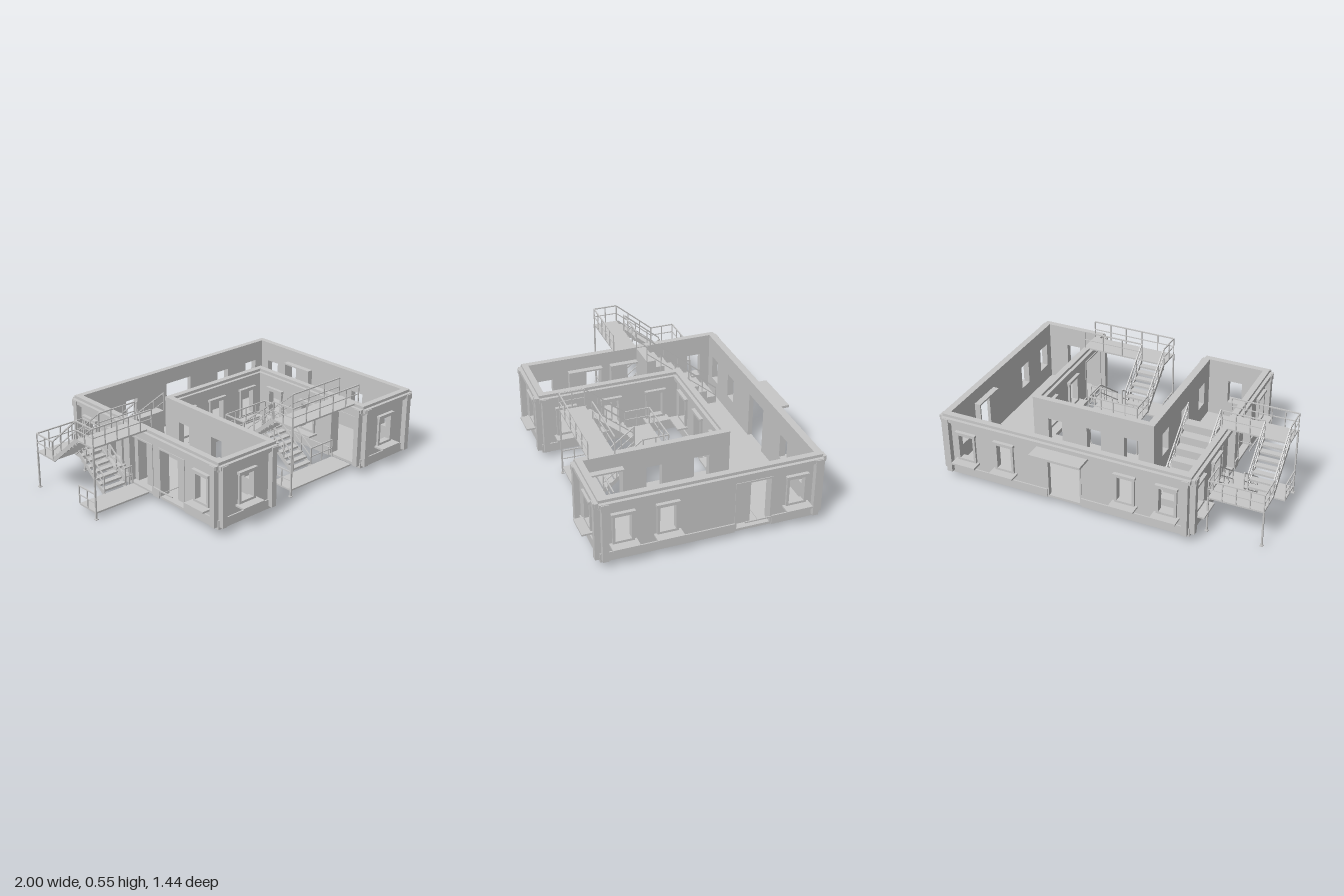
import * as THREE from 'three';

const T = 0.025;           // wall thickness
const BASE = 0.035;        // underside of the building
const FLOOR = 0.05;
const TOP = 0.435;
const grey = new THREE.MeshStandardMaterial({ color: 0xc8c8c8 });
grey.name = 'plain light grey';

function group(parent, name) {
  const g = new THREE.Group();
  g.name = name;
  parent.add(g);
  return g;
}

// Box given by its minimum and maximum corners
function box(parent, name, x0, x1, y0, y1, z0, z1) {
  const m = new THREE.Mesh(new THREE.BoxGeometry(x1 - x0, y1 - y0, z1 - z0), grey);
  m.position.set((x0 + x1) / 2, (y0 + y1) / 2, (z0 + z1) / 2);
  m.name = name;
  parent.add(m);
}

// Square bar between two points
function beam(parent, name, a, b, w = 0.007, h = w) {
  const p = new THREE.Vector3(...a), q = new THREE.Vector3(...b);
  const d = q.clone().sub(p);
  const m = new THREE.Mesh(new THREE.BoxGeometry(w, h, d.length()), grey);
  m.position.copy(p).add(q).multiplyScalar(0.5);
  m.quaternion.setFromUnitVectors(new THREE.Vector3(0, 0, 1), d.normalize());
  m.name = name;
  parent.add(m);
}

// Railing with a hand rail, a middle rail and evenly spaced posts
function railing(parent, a, b, posts = 3, height = 0.11) {
  const g = group(parent, 'railing');
  const up = (p, h) => [p[0], p[1] + h, p[2]];
  beam(g, 'handRail', up(a, height), up(b, height));
  beam(g, 'middleRail', up(a, height / 2), up(b, height / 2), 0.005);
  for (let i = 0; i < posts; i++) {
    const p = a.map((v, k) => v + (b[k] - v) * i / (posts - 1));
    beam(g, 'railPost', p, up(p, height), 0.006);
  }
}

// Framed window with lintel and sill, centred at u on a wall
function windowTrim(parent, u) {
  const g = group(parent, 'window');
  for (const s of [-1, 1]) {
    const a = u + s * 0.046, b = u + s * 0.061;
    box(g, 'windowJamb', Math.min(a, b), Math.max(a, b), 0.14, 0.318, -T, 0.014);
  }
  box(g, 'windowHead', u - 0.046, u + 0.046, 0.308, 0.318, -T, 0.014);
  box(g, 'windowFoot', u - 0.046, u + 0.046, 0.14, 0.154, -T, 0.014);
  box(g, 'windowLintel', u - 0.067, u + 0.067, 0.318, 0.333, -0.005, 0.022);
  box(g, 'windowSill', u - 0.077, u + 0.077, 0.129, 0.14, -0.005, 0.068);
}

// Doorway lining reaching inwards by depth, with an optional leaf and guard bar
function doorway(parent, { u, leaf, bar, depth = 0.037 }) {
  const g = group(parent, 'doorway');
  const back = -T - depth;
  box(g, 'doorJamb', u - 0.11, u - 0.1, FLOOR, 0.35, back, 0.004);
  box(g, 'doorJamb', u + 0.1, u + 0.11, FLOOR, 0.35, back, 0.004);
  box(g, 'doorHead', u - 0.11, u + 0.11, 0.34, 0.35, back, 0.004);
  if (leaf) {
    const end = u + leaf * 0.1;
    box(g, 'doorLeaf', Math.min(u, end), Math.max(u, end), FLOOR, 0.34, back, back + 0.02);
  }
  if (bar) {
    box(g, 'guardBar', u - 0.077, u + 0.077, 0.126, 0.134, 0.059, 0.065);
    box(g, 'guardBracket', u - 0.002, u + 0.002, 0.128, 0.132, back, 0.06);
  }
}

// One straight wall: local x runs along it, local z points outwards
function wall(parent, w) {
  const g = group(parent, w.name);
  g.position.set(w.at[0], 0, w.at[1]);
  g.rotation.y = w.turn * Math.PI / 2;
  const [c0, c1] = w.outerCorners;
  const L = w.length, x0 = c0 ? 0 : -T, x1 = c1 ? L : L + T;
  const rect = (path, a, b, c, d) => path.moveTo(a, c).lineTo(b, c).lineTo(b, d).lineTo(a, d).closePath();
  const doors = w.doors || [];
  const shape = rect(new THREE.Shape(), x0, x1, BASE, TOP);
  for (const u of w.windows) shape.holes.push(rect(new THREE.Path(), u - 0.047, u + 0.047, 0.15, 0.312));
  for (const d of doors) shape.holes.push(rect(new THREE.Path(), d.u - 0.109, d.u + 0.109, FLOOR, 0.349));
  const geo = new THREE.ExtrudeGeometry(shape, { depth: T, bevelEnabled: false });
  geo.translate(0, 0, -T);
  const body = new THREE.Mesh(geo, grey);
  body.name = 'wallBody';
  g.add(body);

  // Cornice, cap and plinth bands
  const e = (c, v) => (c ? v : 0);
  box(g, 'cornice', -e(c0, 0.012), L + e(c1, 0.012), 0.395, 0.418, -0.01, 0.032);
  box(g, 'corniceMoulding', -e(c0, 0.01), L + e(c1, 0.01), 0.38, 0.395, -0.01, 0.016);
  box(g, 'wallCap', -e(c0, 0.012), L + e(c1, 0.012), 0.418, TOP, -T, 0.012);
  let from = -e(c0, 0.008);
  for (const d of doors) {
    box(g, 'plinth', from, d.u - 0.11, BASE, 0.09, -0.01, 0.008);
    from = d.u + 0.11;
  }
  box(g, 'plinth', from, L + e(c1, 0.008), BASE, 0.09, -0.01, 0.008);

  // Pilasters beside the outer corners, leaving a notch at the corner itself
  for (const [on, a, b] of [[c0, 0, 0.034], [c1, L - 0.034, L]]) {
    if (!on) continue;
    box(g, 'pilaster', a, b, FLOOR, 0.39, -0.01, 0.034);
    box(g, 'pilasterCapital', a - 0.004, b + 0.004, 0.38, 0.415, -0.01, 0.038);
  }
  for (const u of w.windows) windowTrim(g, u);
  for (const d of doors) doorway(g, d);
}

// Flight of open treads along z, with stringers and railings
function flight(parent, x0, x1, z0, y0, z1, y1) {
  const g = group(parent, 'stairFlight');
  const n = 7, dz = (z1 - z0) / n, dy = (y1 - y0) / (n + 1);
  for (let i = 0; i < n; i++) {
    const y = y0 + dy * (i + 1);
    box(g, 'tread', x0, x1, y - 0.012, y, z0 + dz * i, z0 + dz * (i + 1));
  }
  for (const x of [x0 + 0.003, x1 - 0.003]) {
    beam(g, 'stringer', [x, y0 - 0.006, z0], [x, y1 - 0.006, z1], 0.006, 0.024);
    railing(g, [x, y0, z0], [x, y1, z1], 4);
  }
}

// Two-flight steel stair with landings on tall posts
function steelStair(parent, name, x, z, upperLength, lowerLength) {
  const g = group(parent, name);
  g.position.set(x, 0, z);
  const W = 0.325, D = 0.55, F = 0.398, M = 0.155, mid = 0.23, low = 0.045;
  box(g, 'upperLanding', 0, upperLength, TOP - 0.01, TOP, F, D);
  box(g, 'middleLanding', 0, W, mid - 0.01, mid, 0, M);
  box(g, 'lowerLanding', 0, lowerLength, low - 0.01, low, F, D);
  flight(g, 0, 0.155, M, mid, F, TOP);
  flight(g, 0.17, W, M, mid, F, low);
  railing(g, [0, TOP, D], [upperLength, TOP, D], 6);
  railing(g, [0, TOP, F], [0, TOP, D], 3);
  railing(g, [0.155, TOP, F], [upperLength, TOP, F], 4);
  railing(g, [0, mid, 0], [W, mid, 0], 5);
  railing(g, [0, mid, 0], [0, mid, M], 3);
  railing(g, [W, mid, 0], [W, mid, M], 3);
  railing(g, [0, low, F], [0, low, D], 3);
  railing(g, [W, low, F], [lowerLength, low, F], 3);
  for (const [px, pz, h] of [[0, 0, mid], [W, 0, mid], [0, D, TOP]]) {
    beam(g, 'supportPost', [px, 0, pz], [px, h, pz], 0.009);
    box(g, 'footPlate', px - 0.01, px + 0.01, 0, 0.005, pz - 0.01, pz + 0.01);
  }
}

// Solid stair inside the building
function innerStair(parent) {
  const g = group(parent, 'innerStair');
  const x0 = -0.575, x1 = -0.378, z0 = -0.55, z1 = -0.08, n = 8;
  for (let i = 0; i < n; i++) {
    const a = z0 + (z1 - z0) * i / n, b = z0 + (z1 - z0) * (i + 1) / n;
    box(g, 'step', x0, x1, FLOOR, FLOOR + (TOP - FLOOR) * (i + 1) / n, a, b);
  }
  for (const x of [x0, x1]) railing(g, [x, FLOOR, z0], [x, TOP, z1], 6);
}

export function createModel() {
  const root = new THREE.Group();
  root.name = 'courtyardBuilding';

  // U-shaped floor slab
  const outline = [[-0.61, 0.65], [-0.21, 0.65], [-0.21, -0.215], [0.53, -0.215],
    [0.53, 0.65], [0.93, 0.65], [0.93, -0.61], [-0.61, -0.61]];
  const slab = new THREE.ExtrudeGeometry(
    new THREE.Shape(outline.map(([x, z]) => new THREE.Vector2(x, -z))),
    { depth: FLOOR - BASE, bevelEnabled: false });
  slab.rotateX(-Math.PI / 2).translate(0, BASE, 0);
  const floor = new THREE.Mesh(slab, grey);
  floor.name = 'floor';
  root.add(floor);

  // Walls; turn counts quarter turns from facing front
  const walls = [
    { name: 'rightWingFront', at: [-0.61, 0.65], turn: 0, length: 0.4, outerCorners: [1, 1], windows: [0.2] },
    { name: 'courtRightWall', at: [-0.21, 0.65], turn: 1, length: 0.865, outerCorners: [1, 0], windows: [0.15, 0.435, 0.72] },
    { name: 'courtBackWall', at: [-0.21, -0.215], turn: 0, length: 0.74, outerCorners: [0, 0], windows: [0.12, 0.363, 0.62] },
    { name: 'courtLeftWall', at: [0.53, -0.215], turn: -1, length: 0.865, outerCorners: [0, 1], windows: [0.145, 0.43], doors: [{ u: 0.725 }] },
    { name: 'leftWingFront', at: [0.53, 0.65], turn: 0, length: 0.4, outerCorners: [1, 1], windows: [0.2] },
    { name: 'leftWall', at: [0.93, 0.65], turn: 1, length: 1.26, outerCorners: [1, 1], windows: [0.123, 0.373, 1.127], doors: [{ u: 0.875, leaf: -1, bar: true }] },
    { name: 'backWall', at: [0.93, -0.61], turn: 2, length: 1.54, outerCorners: [1, 1], windows: [0.133, 0.387, 1.153, 1.407], doors: [{ u: 0.77, depth: 0 }] },
    { name: 'rightWall', at: [-0.61, -0.61], turn: -1, length: 1.26, outerCorners: [1, 1], windows: [0.133, 0.38, 1.13], doors: [{ u: 0.6, leaf: 1 }, { u: 0.875, leaf: 1, bar: true }] },
  ];
  for (const w of walls) wall(root, w);

  // Canopy over the back door
  box(root, 'canopy', 0, 0.32, 0.365, 0.38, -0.722, -0.6);

  innerStair(root);
  steelStair(root, 'courtStair', 0, 0.042, 0.55, 0.51);
  steelStair(root, 'sideStair', -0.993, -0.483, 0.405, 0.375);
  return root;
}
